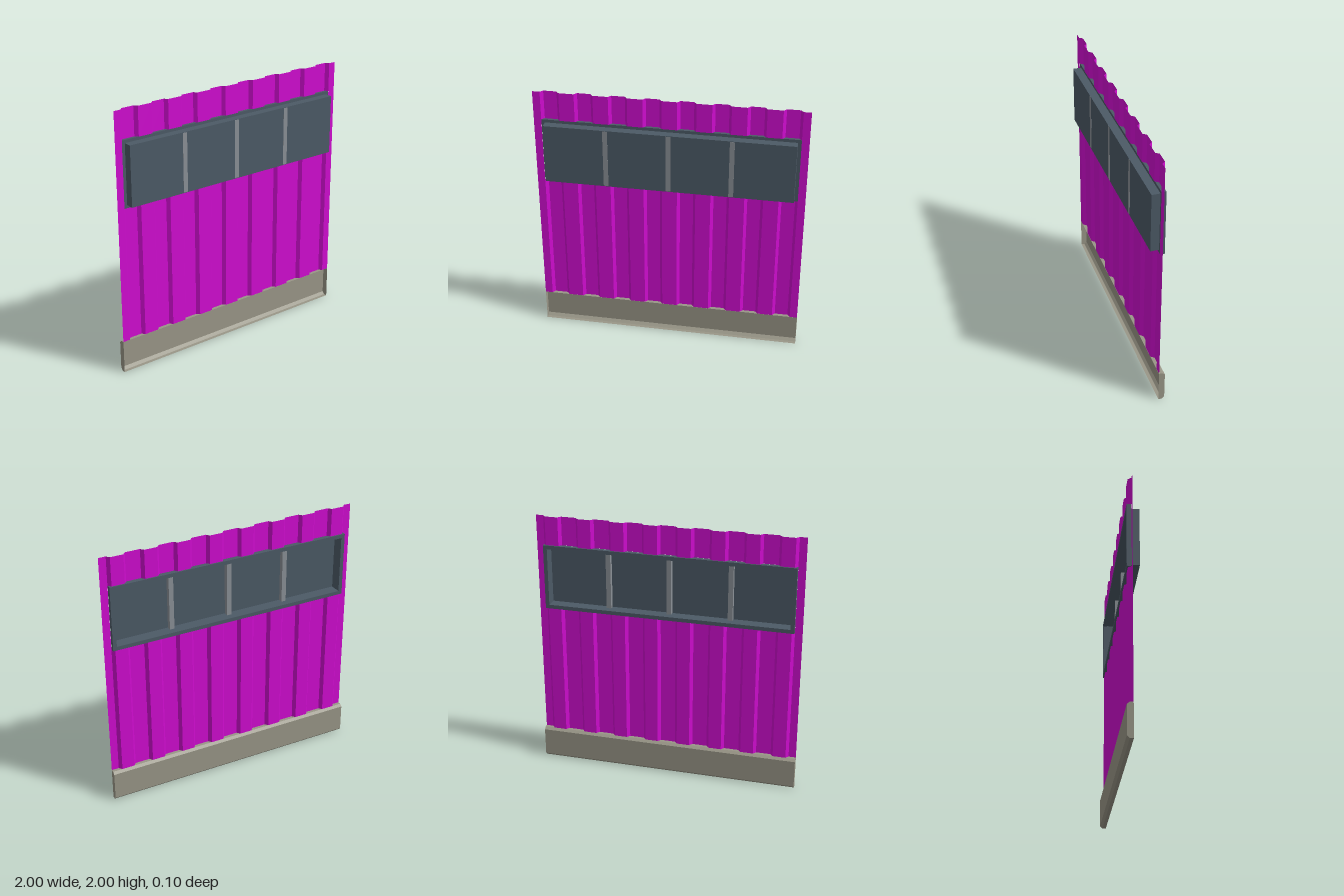
import * as THREE from 'three';

const material = (name, color, side = THREE.FrontSide) => {
  const m = new THREE.MeshStandardMaterial({ color, side });
  m.name = name;
  return m;
};

// Rectangular ring (half width, bottom, top) with a hole inset by t, from z0 to z1
function ring(w, y0, y1, t, z0, z1) {
  const rect = (P, i) => new P([
    new THREE.Vector2(-w + i, y0 + i), new THREE.Vector2(w - i, y0 + i),
    new THREE.Vector2(w - i, y1 - i), new THREE.Vector2(-w + i, y1 - i),
  ]);
  const shape = rect(THREE.Shape, 0);
  shape.holes.push(rect(THREE.Path, t));
  return new THREE.ExtrudeGeometry(shape, { depth: z1 - z0, bevelEnabled: false }).translate(0, 0, z0);
}

// Quads as [a, b, c, d] corner lists
function quads(list) {
  const pos = [];
  for (const [a, b, c, d] of list) pos.push(...a, ...b, ...c, ...a, ...c, ...d);
  const g = new THREE.BufferGeometry();
  g.setAttribute('position', new THREE.Float32BufferAttribute(pos, 3));
  g.computeVertexNormals();
  return g;
}

// Corrugated profile across the wall: [x, z]
const HIGH = -0.008, LOW = -0.033;
const profile = [[-1, HIGH]];
for (let k = 0; k < 8; k++) {
  const x = -0.944 + k * 0.25;
  profile.push([x, HIGH], [x + 0.02, LOW], [x + 0.118, LOW], [x + 0.138, HIGH]);
}
profile.push([1, HIGH]);

// Part of the sheet between two heights
function sheet(points, y0, y1) {
  const list = [];
  for (let i = 0; i < points.length - 1; i++) {
    const [xa, za] = points[i], [xb, zb] = points[i + 1];
    list.push([[xa, y0, za], [xb, y0, zb], [xb, y1, zb], [xa, y1, za]]);
  }
  return quads(list);
}

export function createModel() {
  const group = new THREE.Group();
  const magenta = material('magenta sheet', 0xd00cd0, THREE.DoubleSide);
  const concrete = material('concrete', 0x999687, THREE.DoubleSide);
  const slate = material('slate window', 0x4c5a66, THREE.DoubleSide);
  const grey = material('grey mullion', 0x8a9096);
  const add = (name, geometry, mat) => {
    const mesh = new THREE.Mesh(geometry, mat);
    mesh.name = name;
    group.add(mesh);
    return mesh;
  };

  // Corrugated wall around the window opening
  add('lowerSheet', sheet(profile, 0.25, 1.28), magenta);
  add('upperSheet', sheet(profile, 1.78, 2), magenta);
  add('rightSheetEdge', sheet(profile.slice(0, 2), 1.28, 1.78), magenta);
  add('leftSheetEdge', sheet(profile.slice(-2), 1.28, 1.78), magenta);

  // Plinth: chamfered shell, open at the front, with end caps
  const section = [[-0.007, 0], [-0.033, 0], [-0.052, 0.02], [-0.052, 0.233], [-0.033, 0.25], [-0.007, 0.25]];
  const faces = [];
  for (let i = 0; i < section.length - 1; i++) {
    const [za, ya] = section[i], [zb, yb] = section[i + 1];
    faces.push([[-1, ya, za], [-1, yb, zb], [1, yb, zb], [1, ya, za]]);
  }
  add('plinth', quads(faces), concrete);
  const capShape = new THREE.Shape(section.map(([z, y]) => new THREE.Vector2(-z, y)));
  for (const [name, x] of [['plinthRightCap', -1], ['plinthLeftCap', 1]]) {
    add(name, new THREE.ShapeGeometry(capShape).rotateY(Math.PI / 2).translate(x, 0, 0), concrete);
  }

  // Window: back flange, projecting casing and pane
  add('windowFlange', ring(0.944, 1.28, 1.78, 0.029, -0.043, -0.011), slate);
  add('windowCasing', ring(0.919, 1.303, 1.757, 0.004, -0.011, 0.05), slate);
  add('windowPane', new THREE.BoxGeometry(1.838, 0.454, 0.004).translate(0, 1.53, 0.049), slate);

  // Mullions
  for (const x of [-0.462, 0, 0.462]) {
    add('mullion', new THREE.BoxGeometry(0.036, 0.446, 0.04).translate(x, 1.53, 0.032), grey);
  }
  return group;
}
